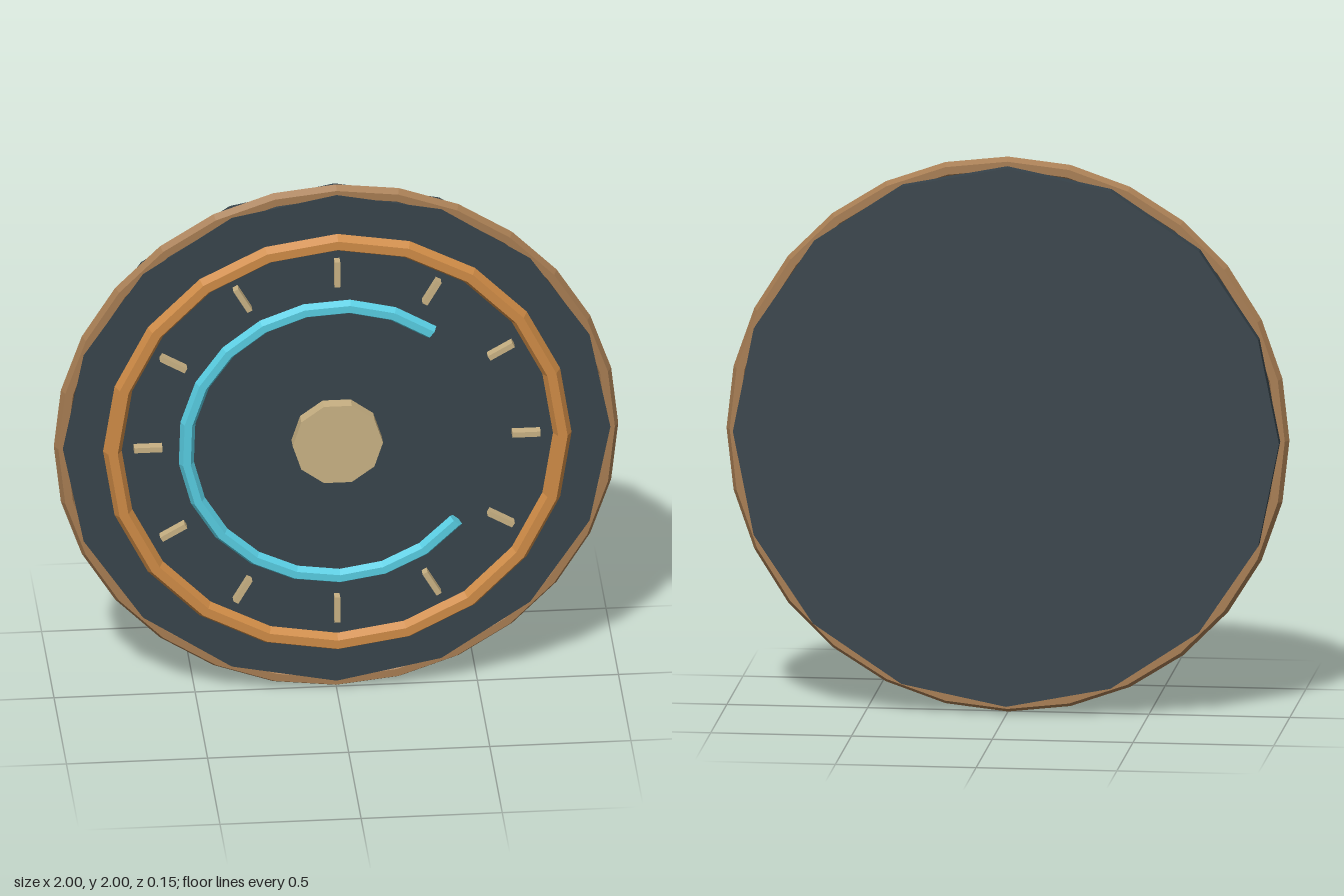
import * as THREE from 'three';

const material = (name, color) => {
  const m = new THREE.MeshStandardMaterial({ color, flatShading: true });
  m.name = name;
  return m;
};

export function createModel() {
  const slate = material('dark slate', 0x37434a);
  const bronze = material('bronze', 0xa67c52);
  const copper = material('copper', 0xcd8a45);
  const cyan = material('cyan', 0x57cbe0);
  const cream = material('cream', 0xc8b183);

  const model = new THREE.Group();
  model.name = 'dial';
  const face = new THREE.Group();
  face.name = 'dialFace';
  face.position.y = 1;
  model.add(face);

  const add = (name, geometry, mat, z = 0, parent = face) => {
    const mesh = new THREE.Mesh(geometry, mat);
    mesh.name = name;
    mesh.position.z = z;
    parent.add(mesh);
    return mesh;
  };
  // Cylinder lying along z, with a corner on the x axis
  const disc = (radius, sides, depth) =>
    new THREE.CylinderGeometry(radius, radius, depth, sides, 1, false, Math.PI / 2).rotateX(Math.PI / 2);

  // Backing plate and the two hexagonal-section rings
  add('backPlate', disc(0.97, 16, 0.091), slate, -0.0295);
  add('outerRim', new THREE.TorusGeometry(0.972, 0.028, 6, 28), bronze, -0.01);
  add('innerRing', new THREE.TorusGeometry(0.797, 0.033, 6, 20), copper, 0.043);

  // Three-quarter gauge arc with closed ends
  const gauge = new THREE.Group();
  gauge.name = 'gaugeArc';
  gauge.position.z = 0.039;
  gauge.rotation.z = 0.9;
  face.add(gauge);
  const R = 0.538, r = 0.027, sweep = Math.PI * 1.5;
  add('gaugeTube', new THREE.TorusGeometry(R, r, 6, 16, sweep), cyan, 0, gauge);
  for (const [name, angle, turn] of [['gaugeStartCap', 0, Math.PI / 2], ['gaugeEndCap', sweep, -Math.PI / 2]]) {
    const cap = new THREE.CircleGeometry(r, 6).rotateX(turn).translate(R, 0, 0).rotateZ(angle);
    add(name, cap, cyan, 0, gauge);
  }

  // Twelve tick marks
  for (let i = 0; i < 12; i++) {
    const tick = new THREE.BoxGeometry(0.1, 0.02, 0.036).translate(0.67, 0, 0).rotateZ((i * Math.PI) / 6);
    add('tickMark', tick, cream, 0.032);
  }

  // Centre hub
  add('hub', disc(0.16, 10, 0.055), cream, 0.0375);

  return model;
}
